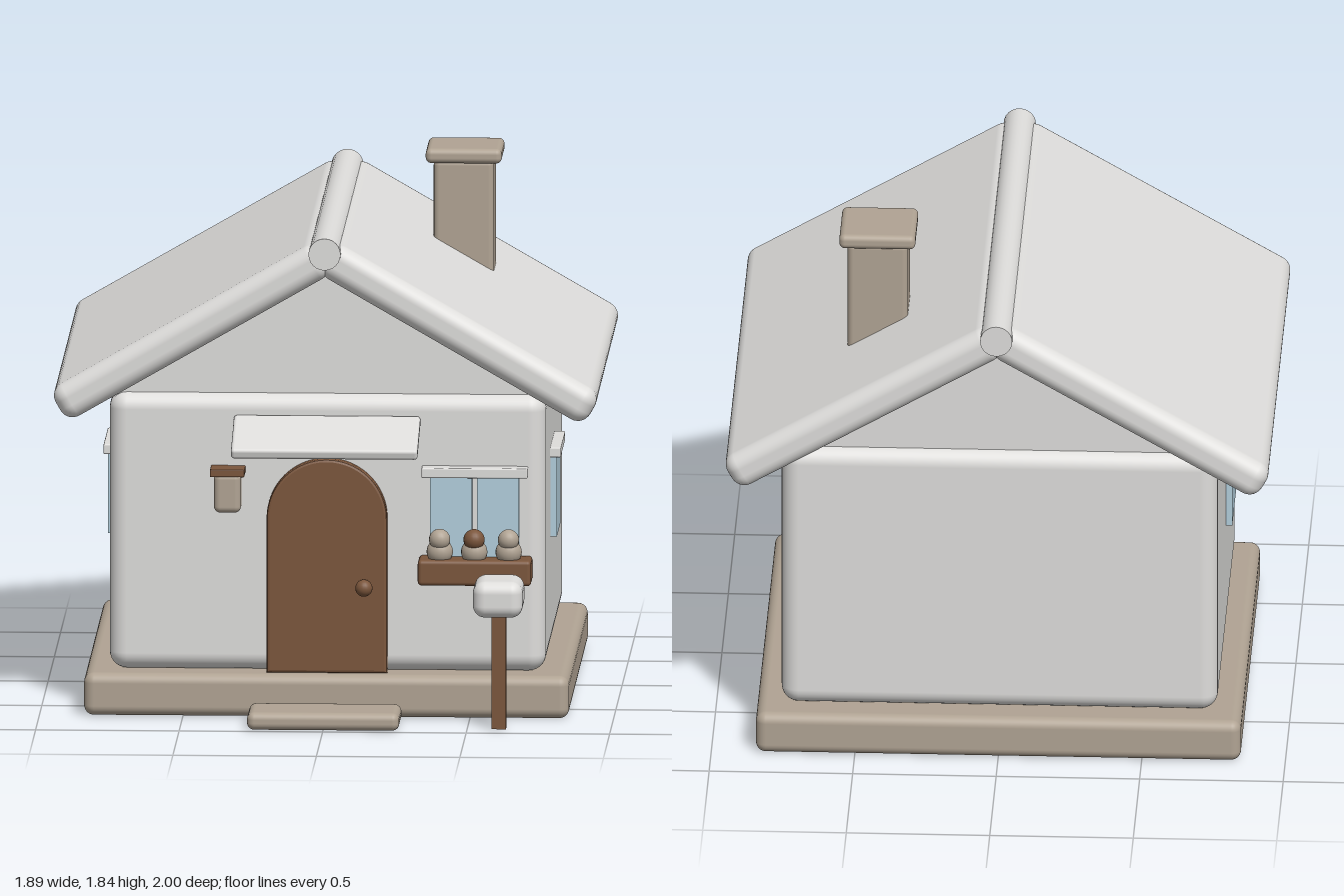
import * as THREE from 'three';
import { RoundedBoxGeometry } from 'three/addons/geometries/RoundedBoxGeometry.js';

export function createModel() {
  const house = new THREE.Group();
  house.name = 'house';
  const mat = (name, color) => {
    const m = new THREE.MeshStandardMaterial({ color });
    m.name = name;
    return m;
  };
  const white = mat('white plaster', 0xdedddb);
  const stone = mat('tan stone', 0xb0a393);
  const wood = mat('brown wood', 0x7b563c);
  const glass = mat('pale blue glass', 0xb2cedc);

  const add = (name, geometry, material, x = 0, y = 0, z = 0, parent = house) => {
    const mesh = new THREE.Mesh(geometry, material);
    mesh.name = name;
    mesh.position.set(x, y, z);
    parent.add(mesh);
    return mesh;
  };
  // Rounded box given by its minimum and maximum along each axis
  const block = (name, material, [x0, x1], [y0, y1], [z0, z1], r, parent = house) =>
    add(name, new RoundedBoxGeometry(x1 - x0, y1 - y0, z1 - z0, 4, r), material,
      (x0 + x1) / 2, (y0 + y1) / 2, (z0 + z1) / 2, parent);
  const ball = (name, material, r, x, y, z) =>
    add(name, new THREE.SphereGeometry(r, 20, 14), material, x, y, z);

  // Foundation, doorstep and walls
  block('foundation', stone, [-0.845, 0.845], [0, 0.15], [-0.85, 0.71], 0.035);
  block('doorstep', stone, [-0.265, 0.265], [0, 0.062], [0.755, 0.985], 0.025);
  block('walls', white, [-0.76, 0.76], [0.15, 1.13], [-0.77, 0.63], 0.06);

  // Gable prism between walls and roof
  const gable = new THREE.Shape();
  gable.moveTo(-0.76, 1.11);
  gable.lineTo(0.76, 1.11);
  gable.lineTo(0.76, 1.145);
  gable.lineTo(0, 1.6);
  gable.lineTo(-0.76, 1.145);
  add('gable', new THREE.ExtrudeGeometry(gable, { depth: 1.32, bevelEnabled: false }), white, 0, 0, -0.73);

  // Roof slopes hinged at the ridge
  const slope = new RoundedBoxGeometry(1.075, 0.13, 1.82, 4, 0.05);
  slope.translate(0.5375, 0, 0);
  for (const side of [1, -1]) {
    const roof = add(side > 0 ? 'leftRoofSlope' : 'rightRoofSlope', slope, white, 0, 1.645, -0.073);
    if (side < 0) roof.rotation.y = Math.PI;
    roof.rotation.z = -Math.PI / 6;
  }
  add('ridgeCap', new THREE.CylinderGeometry(0.056, 0.056, 1.85, 24), white, 0, 1.66, -0.075)
    .rotation.x = Math.PI / 2;

  // Chimney
  block('chimney', stone, [0.33, 0.54], [1.34, 1.8], [-0.51, -0.295], 0.02);
  block('chimneyCap', stone, [0.303, 0.568], [1.79, 1.842], [-0.535, -0.273], 0.02);

  // Arched door
  const arch = new THREE.Shape();
  arch.moveTo(-0.2, 0.16);
  arch.lineTo(0.2, 0.16);
  arch.lineTo(0.2, 0.695);
  arch.absarc(0, 0.695, 0.2, 0, Math.PI, false);
  add('door', new THREE.ExtrudeGeometry(arch, {
    depth: 0.04, bevelSize: 0.01, bevelThickness: 0.01, bevelSegments: 2, curveSegments: 24,
  }), wood, 0, 0, 0.615);
  ball('doorKnob', wood, 0.03, 0.13, 0.455, 0.685);

  // Sloping awning over the door
  add('awning', new RoundedBoxGeometry(0.65, 0.038, 0.27, 3, 0.012), white, 0, 0.998, 0.753)
    .rotation.x = THREE.MathUtils.degToRad(18);

  // Lantern beside the door
  block('lanternBody', stone, [-0.392, -0.298], [0.72, 0.86], [0.622, 0.715], 0.022);
  block('lanternCap', wood, [-0.405, -0.285], [0.85, 0.876], [0.615, 0.727], 0.004);

  // Front window: two panes and a lintel
  for (const x of [0.433, 0.597])
    add('frontPane', new THREE.BoxGeometry(0.146, 0.285, 0.05), glass, x, 0.703, 0.637);
  block('frontLintel', white, [0.33, 0.7], [0.845, 0.88], [0.615, 0.685], 0.005);

  // Side windows, mirrored
  for (const side of [1, -1]) {
    add('sidePane', new THREE.BoxGeometry(0.05, 0.285, 0.295), glass, side * 0.757, 0.703, 0.063);
    add('sideLintel', new RoundedBoxGeometry(0.06, 0.035, 0.345, 2, 0.005), white,
      side * 0.767, 0.862, 0.067);
  }

  // Flower box with three plants
  block('flowerBox', wood, [0.32, 0.715], [0.475, 0.565], [0.625, 0.75], 0.014);
  [0.395, 0.515, 0.635].forEach((x, i) => {
    ball('flowerLeaves', stone, 0.046, x, 0.588, 0.695);
    ball('flowerHead', i === 1 ? wood : stone, 0.037, x, 0.633, 0.708);
  });

  // Mailbox on a post
  add('mailboxPost', new THREE.BoxGeometry(0.05, 0.42, 0.05), wood, 0.61, 0.21, 0.892);
  block('mailbox', white, [0.522, 0.695], [0.402, 0.53], [0.782, 1], 0.042);

  return house;
}
